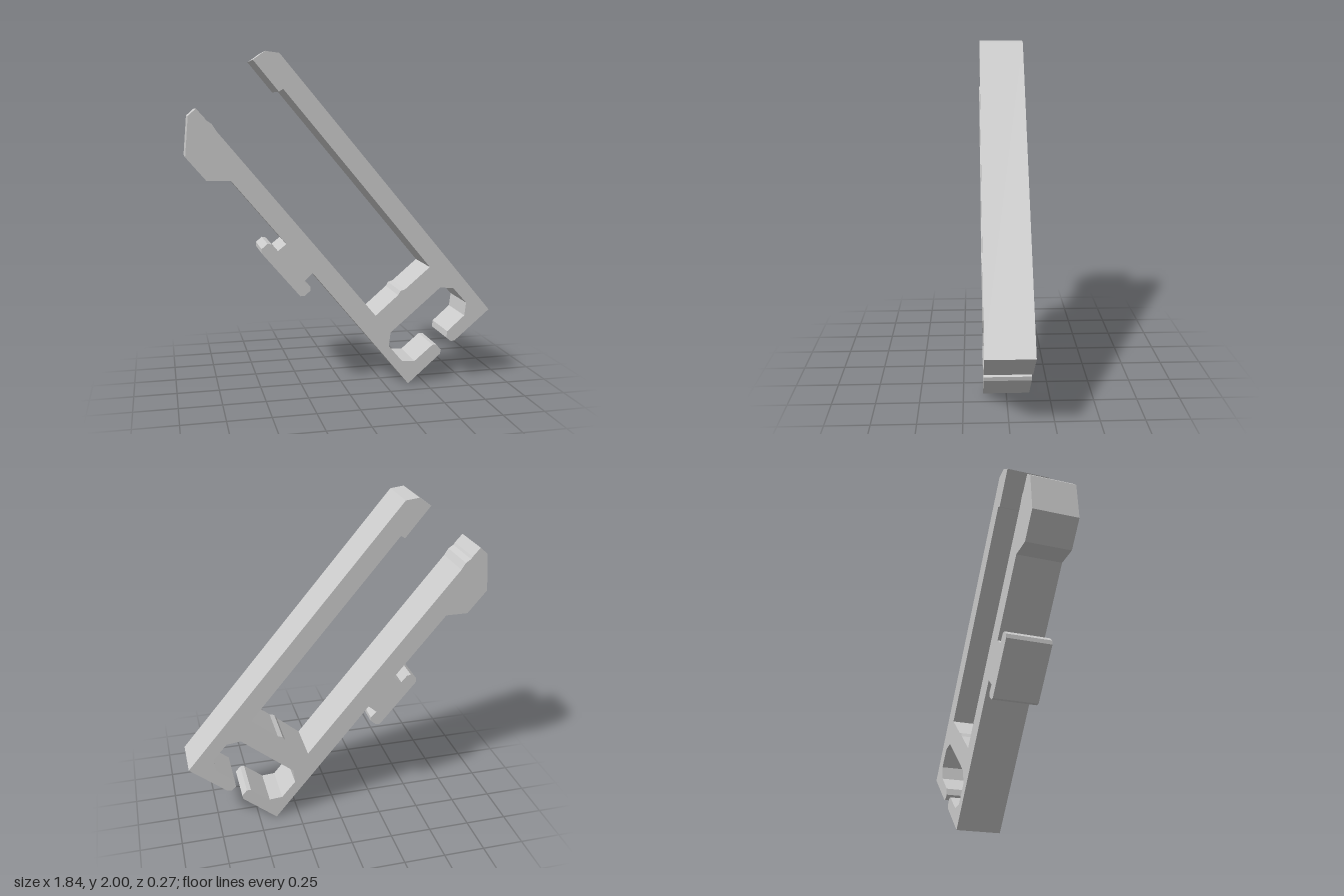
import * as THREE from 'three';

const WIDTH = 0.27;

// Outline of the clip, walked counter-clockwise section by section
const socketLowerLip = [[0.395, 0], [0.6, 0.175], [0.605, 0.2], [0.575, 0.235], [0.55, 0.235]];
const socketHollow = [
  [0.435, 0.14], [0.355, 0.145], [0.27, 0.245], [0.28, 0.33],
  [0.595, 0.595], [0.68, 0.585], [0.765, 0.49], [0.755, 0.41],
];
const socketUpperLip = [[0.645, 0.315], [0.64, 0.275], [0.67, 0.25], [0.695, 0.255], [0.915, 0.44]];
const longArmTip = [[-0.385, 1.99], [-0.465, 2], [-0.535, 1.95], [-0.39, 1.775], [-0.365, 1.79]];
const bridge = [[0.525, 0.725], [0.37, 0.595], [0.34, 0.585], [0.325, 0.56], [0.185, 0.44]];
const shortArmTip = [
  [-0.745, 1.555], [-0.77, 1.595], [-0.8, 1.615], [-0.81, 1.63], [-0.855, 1.68],
  [-0.9, 1.64], [-0.92, 1.41], [-0.805, 1.275], [-0.67, 1.275],
];
const sideHook = [
  [-0.355, 0.9], [-0.405, 0.86], [-0.44, 0.9], [-0.465, 0.905], [-0.5, 0.875], [-0.5, 0.85],
  [-0.275, 0.585], [-0.25, 0.585], [-0.215, 0.615], [-0.215, 0.64], [-0.25, 0.675], [-0.2, 0.72],
];

export function createModel() {
  const group = new THREE.Group();
  group.name = 'forkedClip';

  const outline = [
    socketLowerLip, socketHollow, socketUpperLip, longArmTip, bridge, shortArmTip, sideHook,
  ].flat().map(([x, y]) => new THREE.Vector2(x, y));

  // Straight extrusion, centred front to back
  const geometry = new THREE.ExtrudeGeometry(new THREE.Shape(outline), {
    depth: WIDTH, bevelEnabled: false,
  });
  geometry.translate(0, 0, -WIDTH / 2);

  const body = new THREE.Mesh(
    geometry,
    new THREE.MeshStandardMaterial({ color: 0xcccccc, flatShading: true }),
  );
  body.name = 'clipBody';
  group.add(body);
  return group;
}
